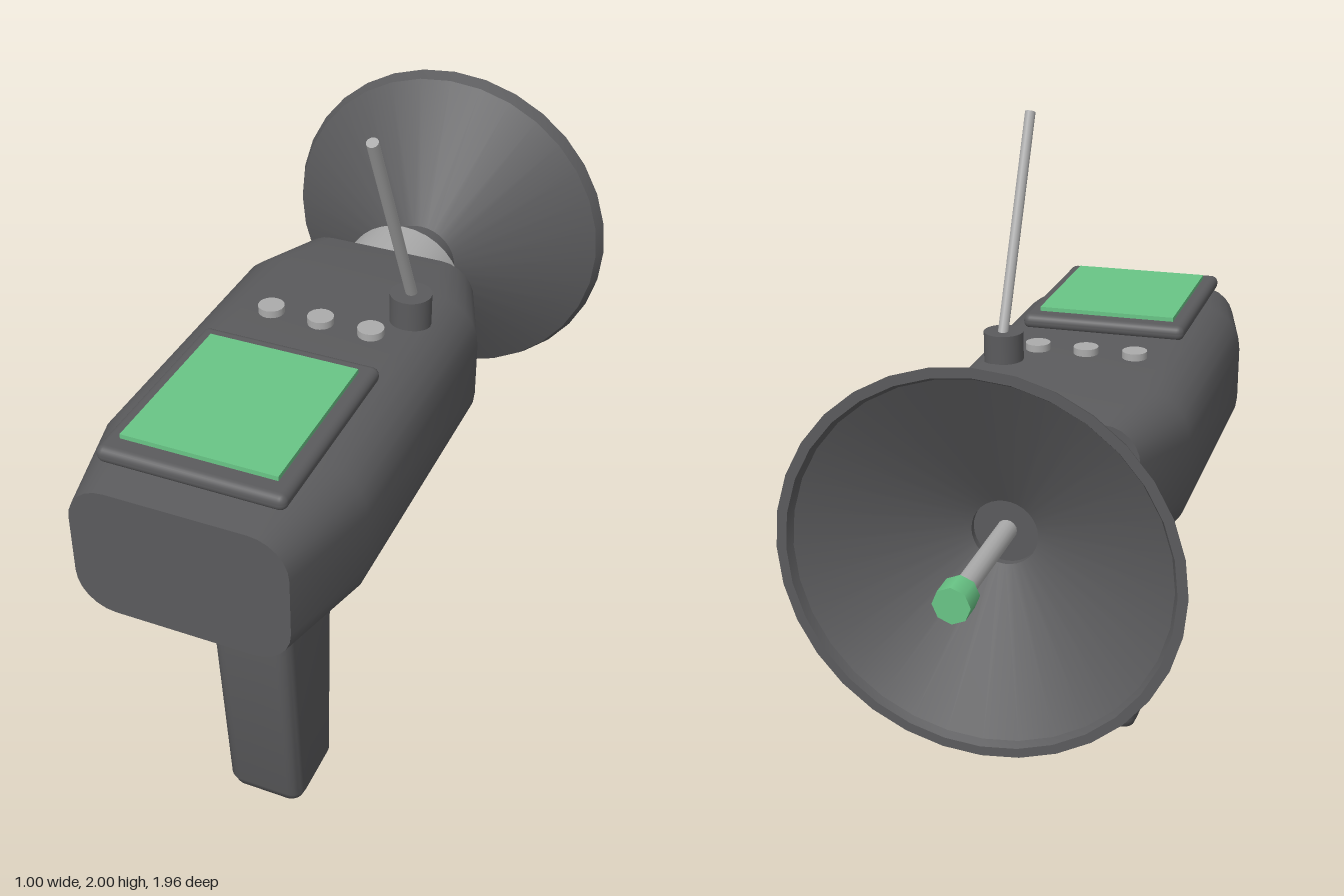
import * as THREE from 'three';
import { toCreasedNormals } from 'three/addons/utils/BufferGeometryUtils.js';
import { RoundedBoxGeometry } from 'three/addons/geometries/RoundedBoxGeometry.js';

const AXIS_Y = 1.16; // height of the barrel and dish axis

// Rounded-rectangle loft along +z; each section is [z, centreY, halfWidth, halfHeight, cornerRadius]
function loft(sections, steps = 6) {
  const pos = [], idx = [], n = 4 * (steps + 1);
  for (const [z, cy, hw, hh, r] of sections) {
    for (let c = 0; c < 4; c++) {
      const sx = c === 0 || c === 3 ? 1 : -1, sy = c < 2 ? 1 : -1;
      for (let s = 0; s <= steps; s++) {
        const a = (c + s / steps) * Math.PI / 2;
        pos.push(sx * (hw - r) + r * Math.cos(a), cy + sy * (hh - r) + r * Math.sin(a), z);
      }
    }
  }
  const last = sections.length - 1;
  for (let k = 0; k < last; k++) {
    for (let i = 0; i < n; i++) {
      const a = k * n + i, b = k * n + (i + 1) % n;
      idx.push(a, b, b + n, a, b + n, a + n);
    }
  }
  for (let i = 1; i < n - 1; i++) {
    idx.push(0, i + 1, i, last * n, last * n + i, last * n + i + 1);
  }
  const g = new THREE.BufferGeometry();
  g.setAttribute('position', new THREE.Float32BufferAttribute(pos, 3));
  g.setIndex(idx);
  return g;
}

export function createModel() {
  const model = new THREE.Group();
  const material = (name, color) => {
    const m = new THREE.MeshStandardMaterial({ color });
    m.name = name;
    return m;
  };
  const dark = material('dark grey', 0x5b5b5d);
  const metal = material('light metal', 0xababab);
  const green = material('green', 0x69c586);

  const add = (name, geometry, mat, x = 0, y = 0, z = 0) => {
    const mesh = new THREE.Mesh(geometry, mat);
    mesh.name = name;
    mesh.position.set(x, y, z);
    model.add(mesh);
    return mesh;
  };
  // Cylinder lying along z between two depths
  const zCylinder = (name, r, z0, z1, mat, sides = 32) =>
    add(name, new THREE.CylinderGeometry(r, r, Math.abs(z1 - z0), sides).rotateX(-Math.PI / 2),
      mat, 0, AXIS_Y, (z0 + z1) / 2);

  // Main housing, tapered at both ends
  add('body', toCreasedNormals(loft([
    [-0.28, 1.157, 0.265, 0.183, 0.1],
    [-0.07, 1.157, 0.35, 0.208, 0.13],
    [0.7, 1.157, 0.35, 0.208, 0.13],
    [0.98, 1.157, 0.28, 0.18, 0.1],
  ]), 0.6), dark);

  // Grip, lofted upward
  const grip = loft([
    [0, -0.493, 0.08, 0.085, 0.025],
    [0.012, -0.493, 0.103, 0.108, 0.035],
    [0.04, -0.493, 0.115, 0.118, 0.04],
    [0.78, -0.512, 0.115, 0.158, 0.04],
    [0.98, -0.51, 0.115, 0.138, 0.04],
  ]).rotateX(-Math.PI / 2);
  add('handle', toCreasedNormals(grip, 0.9), dark);

  // Collar, bolts and neck
  zCylinder('collar', 0.18, -0.27, -0.42, metal);
  for (const x of [-0.1, 0.1]) {
    for (const y of [-0.1, 0.1]) {
      add('collarBolt', new THREE.SphereGeometry(0.018, 10, 8), metal, x, AXIS_Y + y, -0.42);
    }
  }
  zCylinder('neck', 0.11, -0.42, -0.57, dark);

  // Hollow dish: outer cone, rim, inner cone and recessed centre
  const profile = [
    [0.105, 0.555], [0.485, 0.775], [0.5, 0.81], [0.475, 0.81],
    [0.465, 0.79], [0.085, 0.59], [0.085, 0.572], [0, 0.572],
  ].map(([r, h]) => new THREE.Vector2(r, h));
  const dish = new THREE.LatheGeometry(profile, 32).rotateX(-Math.PI / 2);
  add('dish', toCreasedNormals(dish, 0.4), dark, 0, AXIS_Y, 0);

  // Feed at the dish centre
  zCylinder('feedRod', 0.026, -0.57, -0.93, metal, 16);
  zCylinder('feedTip', 0.046, -0.915, -0.98, green, 8);

  // Display on the top
  add('screenBezel', new RoundedBoxGeometry(0.48, 0.044, 0.56, 3, 0.02), dark, 0, 1.381, 0.63);
  add('screen', new THREE.BoxGeometry(0.4, 0.03, 0.455), green, 0, 1.4, 0.628);

  // Buttons
  for (const x of [-0.14, 0, 0.14]) {
    add('button', new THREE.CylinderGeometry(0.035, 0.035, 0.03, 20), metal, x, 1.37, 0.175);
  }

  // Leaning antenna on its socket
  add('antennaBase', new THREE.CylinderGeometry(0.055, 0.055, 0.11, 24), dark, 0.208, 1.39, 0.07);
  const from = new THREE.Vector3(0.208, 1.42, 0.055), to = new THREE.Vector3(0.208, 1.993, 0.345);
  const dir = to.clone().sub(from);
  const antenna = add('antenna', new THREE.CylinderGeometry(0.015, 0.015, dir.length(), 12), metal);
  antenna.position.copy(from).add(to).multiplyScalar(0.5);
  antenna.quaternion.setFromUnitVectors(new THREE.Vector3(0, 1, 0), dir.normalize());

  return model;
}
